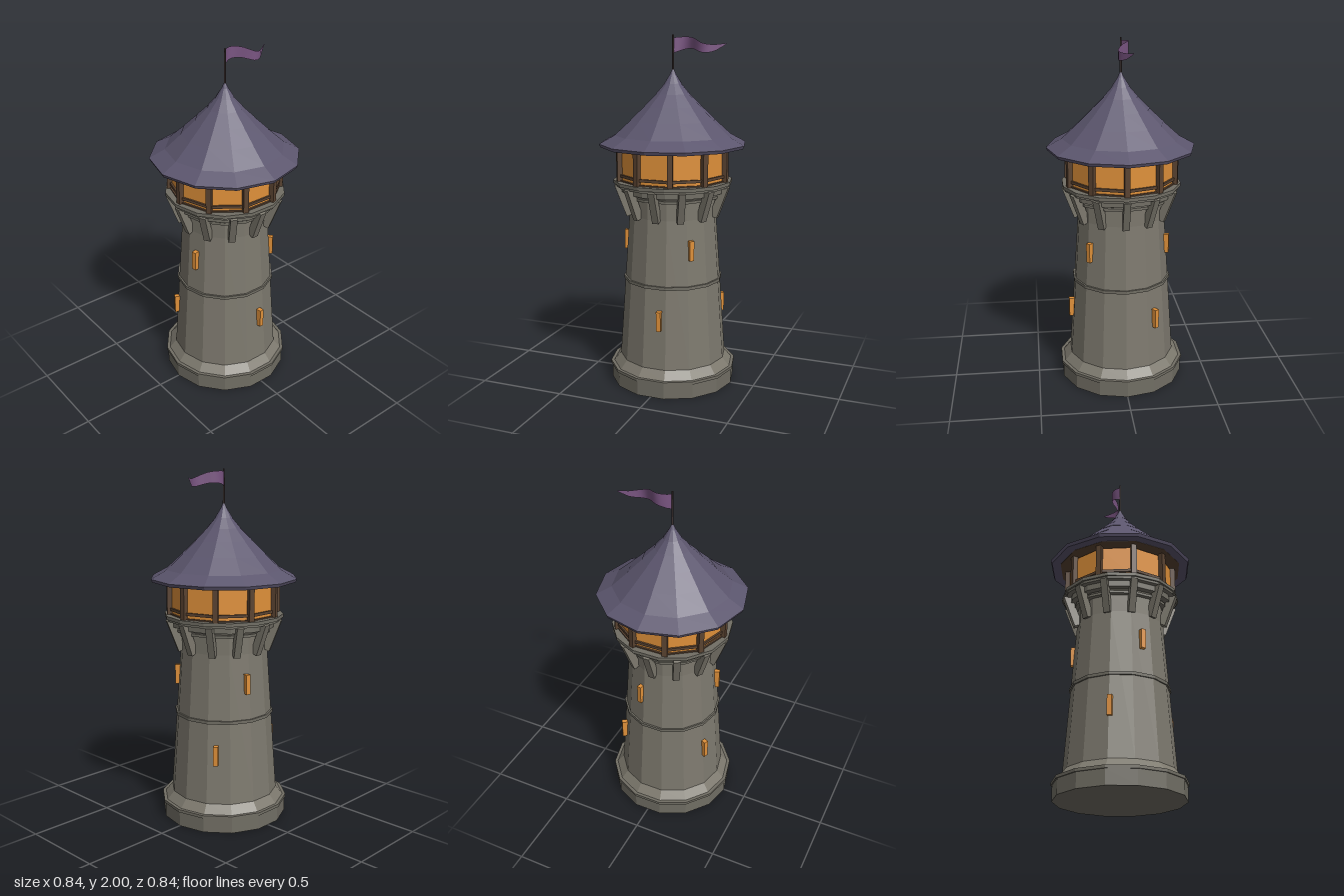
import * as THREE from 'three';

const mat = (name, color, side = THREE.FrontSide) => {
  const m = new THREE.MeshStandardMaterial({ color, side });
  m.name = name;
  return m;
};

// Faceted look: split faces and give each its own normal
function flat(geometry) {
  const g = geometry.index ? geometry.toNonIndexed() : geometry;
  g.computeVertexNormals();
  return g;
}

export function createModel() {
  const tower = new THREE.Group();
  tower.name = 'watchtower';

  const stone = mat('stone', 0x7d796e);
  const trim = mat('trim stone', 0x716e64);
  const slate = mat('roof slate', 0x5c566e);
  const wood = mat('timber', 0x5a4331);
  const amber = mat('lit amber', 0xe0913a);
  const cloth = mat('flag cloth', 0x7a5582, THREE.DoubleSide);
  const iron = mat('pole', 0x3e3231);

  const add = (name, geometry, material, parent = tower) => {
    const mesh = new THREE.Mesh(geometry, material);
    mesh.name = name;
    parent.add(mesh);
    return mesh;
  };

  // Polygonal turned part from [radius, height] points; a corner sits on +x
  const turned = (name, points, sides, material) => add(name,
    flat(new THREE.LatheGeometry(points.map(([r, y]) => new THREE.Vector2(r, y)), sides, Math.PI / 2)),
    material);
  const ring = (name, r, y0, y1, sides, material) =>
    turned(name, [[0, y0], [r, y0], [r, y1], [0, y1]], sides, material);

  // Group that turns a part to face outward at an angle (0 = front, 90 = left)
  const around = (name, degrees) => {
    const g = new THREE.Group();
    g.name = name;
    g.rotation.y = THREE.MathUtils.degToRad(degrees);
    tower.add(g);
    return g;
  };

  // Stone shaft with plinth, flare and platform
  turned('shaft', [[0, 0.09], [0.352, 0.09], [0.352, 0.1], [0.31, 0.15], [0.25, 1.0],
    [0.252, 1.1], [0.285, 1.17], [0, 1.17]], 14, stone);
  ring('plinth', 0.362, 0, 0.085, 14, trim);
  ring('plinthLip', 0.369, 0.085, 0.102, 14, trim);
  ring('beltCourse', 0.286, 0.612, 0.63, 14, trim);
  ring('lowerCornice', 0.278, 1.1, 1.115, 14, trim);
  ring('upperCornice', 0.302, 1.13, 1.166, 14, trim);
  ring('platform', 0.331, 1.163, 1.178, 14, trim);
  ring('platformLip', 0.341, 1.176, 1.195, 14, trim);

  // Leaning corbels under the platform
  for (let i = 0; i < 12; i++) {
    const corbel = add('corbel', new THREE.BoxGeometry(0.038, 0.19, 0.045), stone,
      around('corbelMount', i * 30));
    corbel.position.set(0, 1.083, 0.282);
    corbel.rotation.x = 0.36;
  }

  // Window slits, three per storey
  const slits = (start, y, r) => {
    for (let i = 0; i < 3; i++) {
      add('windowSlit', new THREE.BoxGeometry(0.026, 0.112, 0.04), amber,
        around('windowMount', start + i * 120)).position.set(0, y, r - 0.02);
    }
  };
  slits(5.6, 0.435, 0.312);
  slits(43, 0.833, 0.282);

  // Glazed lookout room with posts and rails
  ring('glazing', 0.303, 1.19, 1.376, 10, amber);
  ring('sill', 0.314, 1.19, 1.202, 10, wood);
  ring('rail', 0.314, 1.218, 1.234, 10, wood);
  for (let i = 0; i < 10; i++) {
    add('post', new THREE.BoxGeometry(0.03, 0.2, 0.03), wood, around('postMount', 18 + i * 36))
      .position.set(0, 1.292, 0.311);
  }

  // Swept roof, each tier lapping over the one below
  const sweep = [[0.42, 1.402], [0.327, 1.452], [0.238, 1.535], [0.158, 1.613],
    [0.092, 1.68], [0.045, 1.737], [0.018, 1.785], [0, 1.825]];
  const profile = [[0, 1.394], [0.412, 1.384], [0.42, 1.402]];
  for (let i = 1; i < sweep.length; i++) {
    const [r, y] = sweep[i];
    const lap = i < 6 ? 0.005 : 0;
    if (lap) profile.push([r, y], [r + lap, y - 0.002]);
    else profile.push([r, y]);
  }
  turned('roof', profile, 12, slate);
  turned('soffit', [[0, 1.386], [0.36, 1.384], [0.36, 1.39]], 12, wood);

  // Flagpole
  add('flagpole', new THREE.CylinderGeometry(0.005, 0.006, 0.2, 8), iron).position.y = 1.9;

  // Rippling pennant, tapering toward its tip
  const edge = (ys) => new THREE.SplineCurve(ys.map((y, i) => new THREE.Vector2(i * 0.06, y)));
  const top = edge([1.985, 1.99, 1.984, 1.958, 1.949, 1.956]);
  const bottom = edge([1.9, 1.922, 1.924, 1.907, 1.912, 1.952]);
  const flag = new THREE.PlaneGeometry(1, 1, 12, 1);
  const p = flag.attributes.position;
  for (let i = 0; i < p.count; i++) {
    const u = p.getX(i) + 0.5;
    const at = (p.getY(i) > 0 ? top : bottom).getPoint(u);
    p.setXYZ(i, at.x, at.y, -0.035 * Math.sin(u * Math.PI * 2.4));
  }
  flag.computeVertexNormals();
  add('flag', flag, cloth);

  return tower;
}
